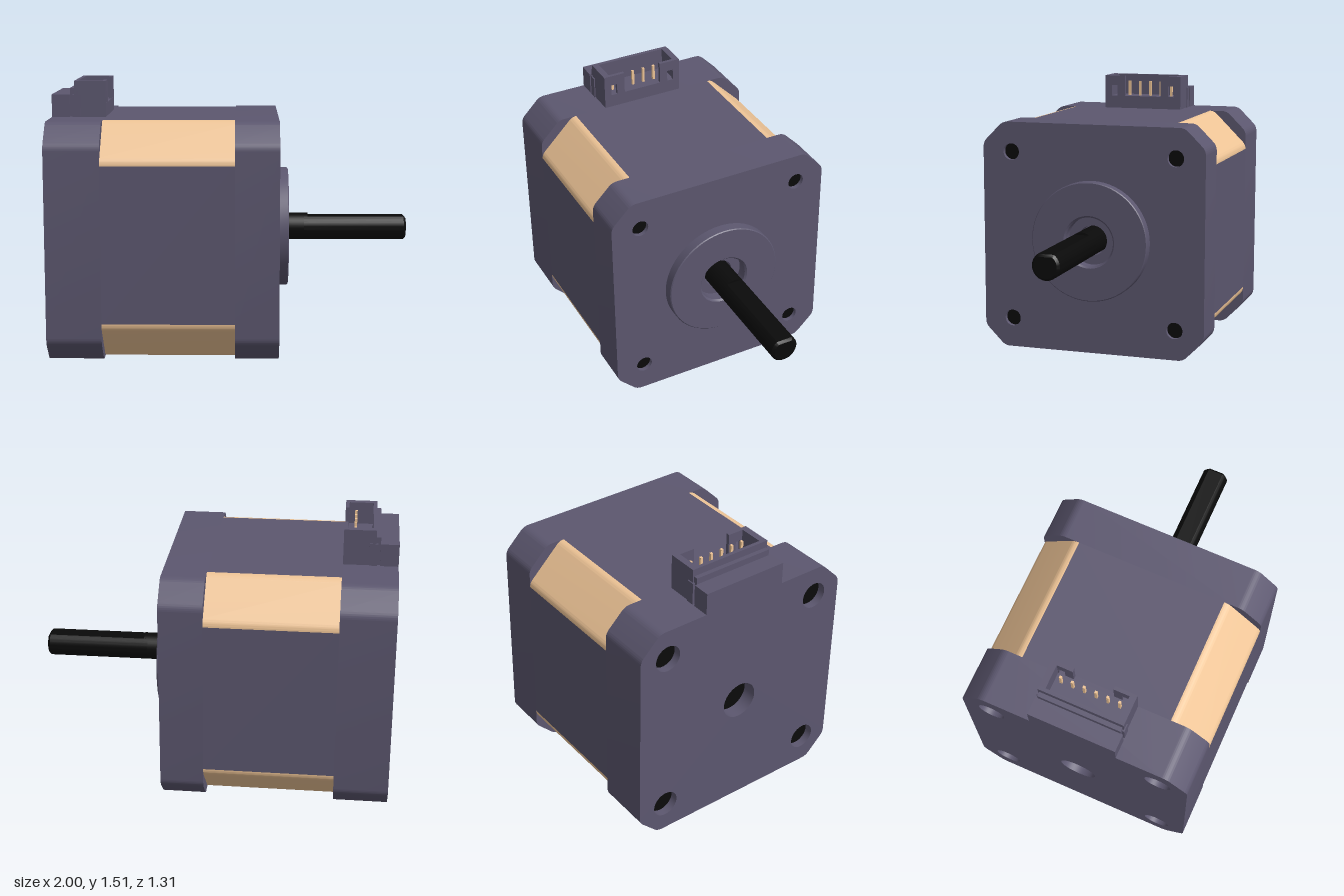
import * as THREE from 'three';
import { toCreasedNormals } from 'three/addons/utils/BufferGeometryUtils.js';

const material = (color) => new THREE.MeshStandardMaterial({ color });
const HALF = 0.655; // half width of the square body
const BOLT = 0.485; // bolt offset from the axis

// Extrude a (-z, y) outline along x from x0 to x1
function extrudeX(shape, x0, x1, bevel = 0) {
  const geo = new THREE.ExtrudeGeometry(shape, {
    depth: x1 - x0 - 2 * bevel, curveSegments: 24,
    bevelEnabled: bevel > 0, bevelSize: bevel, bevelOffset: -bevel, bevelThickness: bevel, bevelSegments: 1,
  });
  geo.translate(0, 0, x0 + bevel).rotateY(Math.PI / 2);
  return toCreasedNormals(geo, 0.5);
}

function circle(x, y, r) {
  return new THREE.Path().absarc(x, y, r, 0, Math.PI * 2, true);
}

// Square with chamfered corners whose edges are softened
function capShape() {
  const s = new THREE.Shape();
  const a = HALF, b = HALF - 0.12, r = 0.03, d = r * Math.SQRT1_2;
  for (let k = 0; k < 4; k++) {
    const c = Math.round(Math.cos(k * Math.PI / 2)), n = Math.round(Math.sin(k * Math.PI / 2));
    const p = (x, y) => [x * c - y * n, x * n + y * c];
    if (k === 0) s.moveTo(...p(a, b - r)); else s.lineTo(...p(a, b - r));
    s.quadraticCurveTo(...p(a, b), ...p(a - d, b + d));
    s.lineTo(...p(b + d, a - d));
    s.quadraticCurveTo(...p(b, a), ...p(b - r, a));
  }
  s.closePath();
  return s;
}

function rectPath(path, x0, y0, x1, y1) {
  path.moveTo(x0, y0);
  path.lineTo(x1, y0);
  path.lineTo(x1, y1);
  path.lineTo(x0, y1);
  path.closePath();
  return path;
}

export function createModel() {
  const model = new THREE.Group();
  model.name = 'stepperMotor';
  const motor = new THREE.Group();
  motor.name = 'motor';
  motor.position.y = HALF;
  model.add(motor);

  const body = material(0x5c576f), tan = material(0xeec496), black = material(0x0a0a0a);
  const add = (name, geo, mat, parent = motor) => {
    const mesh = new THREE.Mesh(geo, mat);
    mesh.name = name;
    parent.add(mesh);
    return mesh;
  };
  const cylinderX = (r, x0, x1) =>
    new THREE.CylinderGeometry(r, r, x1 - x0, 40).rotateZ(-Math.PI / 2).translate((x0 + x1) / 2, 0, 0);

  // End caps with bolt holes and a central opening
  const caps = [
    { name: 'frontCap', x0: 0.02, x1: 0.26, hole: 0.047, centre: 0.145, plug: [0.04, 0.235] },
    { name: 'rearCap', x0: -1, x1: -0.7, hole: 0.075, centre: 0.105, plug: [-0.955, -0.72] },
  ];
  for (const cap of caps) {
    const shape = capShape();
    shape.holes.push(circle(0, 0, cap.centre));
    for (const sy of [-1, 1]) for (const sz of [-1, 1]) {
      shape.holes.push(circle(sz * BOLT, sy * BOLT, cap.hole));
      add('bolt', cylinderX(cap.hole, ...cap.plug), black).position.set(0, sy * BOLT, sz * BOLT);
    }
    add(cap.name, extrudeX(shape, cap.x0, cap.x1), body);
  }

  // Middle section: cross-shaped core and four coloured corners
  const n = 0.43, core = new THREE.Shape();
  core.setFromPoints([
    [HALF, -n], [HALF, n], [n, n], [n, HALF], [-n, HALF], [-n, n],
    [-HALF, n], [-HALF, -n], [-n, -n], [-n, -HALF], [n, -HALF], [n, -n],
  ].map(([x, y]) => new THREE.Vector2(x, y)));
  add('middleCore', extrudeX(core, -0.7, 0.02), body);

  const corner = new THREE.Shape();
  corner.moveTo(n, n);
  corner.lineTo(HALF, n);
  corner.quadraticCurveTo(HALF, 0.455, 0.637, 0.473);
  corner.lineTo(0.473, 0.637);
  corner.quadraticCurveTo(0.455, HALF, n, HALF);
  corner.closePath();
  const cornerGeo = extrudeX(corner, -0.7, 0.02);
  for (let k = 0; k < 4; k++) add('cornerLamination', cornerGeo, tan).rotation.x = k * Math.PI / 2;

  // Pilot boss with a recessed bearing, turned around the shaft axis
  const boss = new THREE.LatheGeometry([
    [0.085, 0.18], [0.085, 0.25], [0.14, 0.25], [0.14, 0.31], [0.15, 0.32],
    [0.335, 0.32], [0.34, 0.315], [0.34, 0.255],
  ].reverse().map(([r, x]) => new THREE.Vector2(r, x)), 64);
  boss.rotateZ(-Math.PI / 2);
  // Orient the faces outward: the end ring must face +x
  const bossMaterial = body.clone();
  bossMaterial.side = THREE.DoubleSide;
  add('pilotBoss', toCreasedNormals(boss, 0.5), bossMaterial);

  // Shaft: round root, then a flatted length with a chamfered tip
  const R = 0.077, flat = Math.asin(0.063 / R);
  const dShape = new THREE.Shape();
  dShape.absarc(0, 0, R, Math.PI - flat, Math.PI * 2 + flat, false);
  dShape.closePath();
  add('shaftRoot', cylinderX(R, 0.1, 0.435), black);
  add('shaft', extrudeX(dShape, 0.4, 1, 0.013), black);
  add('rearShaftEnd', cylinderX(0.105, -0.92, -0.72), black);

  // Connector on top of the rear cap
  const connector = new THREE.Group();
  connector.name = 'connector';
  model.add(connector);
  const box = (name, x0, x1, y0, y1, z0, z1, mat = body) =>
    add(name, new THREE.BoxGeometry(x1 - x0, y1 - y0, z1 - z0)
      .translate((x0 + x1) / 2, (y0 + y1) / 2, (z0 + z1) / 2), mat, connector);
  const base = 1.3, top = 1.51, floor = 1.385;
  box('connectorBase', -1, -0.9, base, 1.435, -0.248, 0.248);
  box('connectorStep', -0.9, -0.875, base, 1.47, -0.235, 0.235);
  box('socketFloor', -0.86, -0.72, base, floor, -0.21, 0.21);
  box('socketBackWall', -0.875, -0.855, base, top, -0.242, 0.242);
  for (const s of [-1, 1]) {
    box('socketSideWall', -0.855, -0.72, base, top, Math.min(s * 0.205, s * 0.242), Math.max(s * 0.205, s * 0.242));
    box('socketRib', -0.885, -0.84, base, 1.435, Math.min(s * 0.23, s * 0.248), Math.max(s * 0.23, s * 0.248));
  }

  // Socket front wall with a key notch and two small windows
  const wall = new THREE.Shape([
    [-0.242, base], [0.242, base], [0.242, top], [0.115, top],
    [0.115, floor], [-0.115, floor], [-0.115, top], [-0.242, top],
  ].map(([x, y]) => new THREE.Vector2(x, y)));
  for (const x of [-0.2, 0.163]) wall.holes.push(rectPath(new THREE.Path(), x, floor, x + 0.037, 1.45));
  add('socketFrontWall', extrudeX(wall, -0.72, -0.7), body, connector);

  // Contact pins
  for (let i = 0; i < 6; i++) {
    const z = (i - 2.5) * 0.067;
    box('pin', -0.767, -0.753, floor - 0.01, 1.475, z - 0.007, z + 0.007, tan);
  }
  return model;
}
